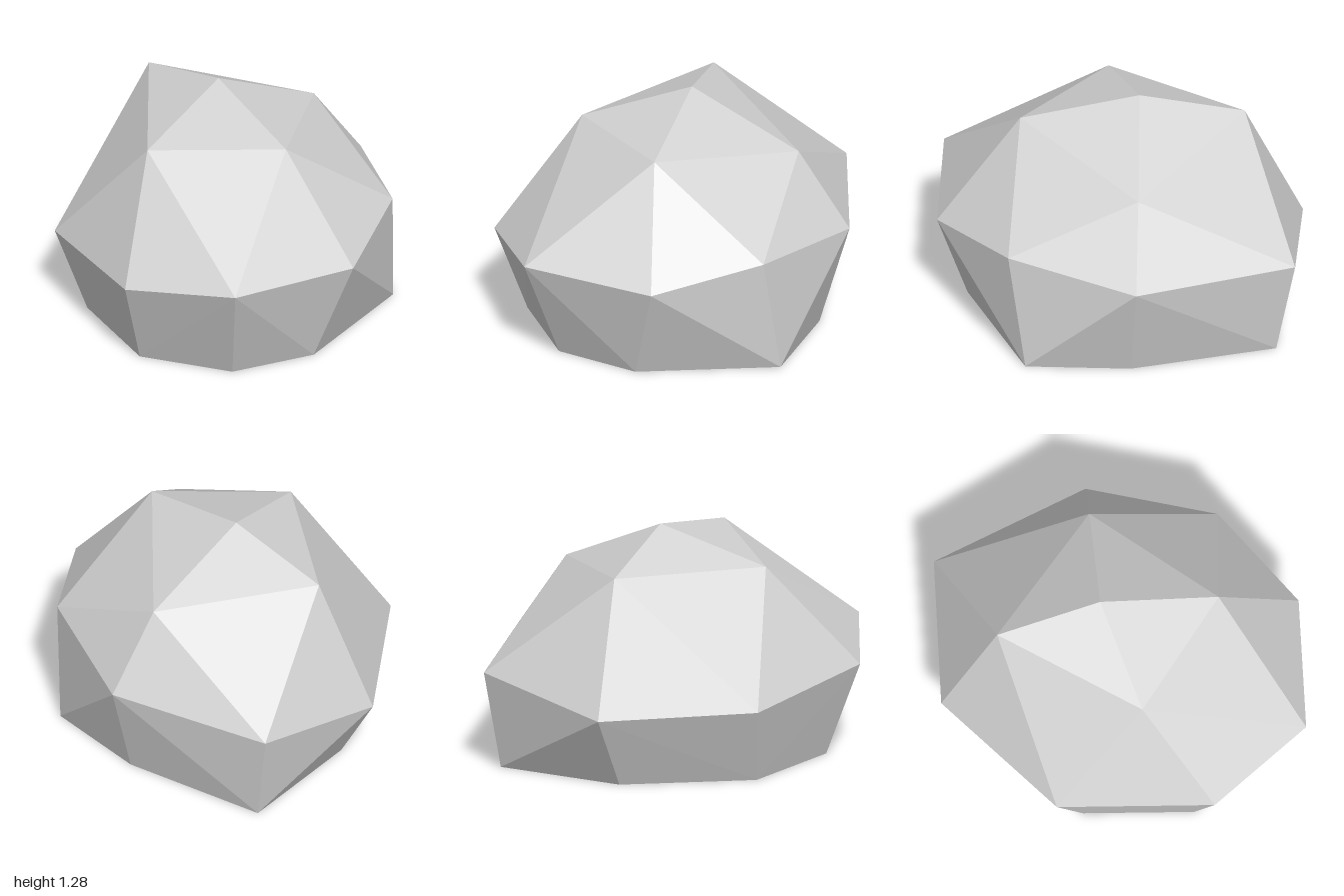
import * as THREE from 'three';
import { ConvexGeometry } from 'three/addons/geometries/ConvexGeometry.js';

// Faceted boulder: the hull of a flat base ring, a wider waist ring and a crown.
export function createModel() {
  const group = new THREE.Group();
  group.name = 'boulder';

  const stone = new THREE.MeshStandardMaterial({ color: 0xd2d2d2 });
  stone.name = 'paleStoneGrey';

  // Base ring on the ground, as x, z
  const base = [
    [0.13, 0.785], [0.61, 0.565], [0.805, 0.13], [0.67, -0.645],
    [0.12, -0.80], [-0.69, -0.79], [-0.77, -0.08], [-0.44, 0.59],
  ].map(([x, z]) => [x, 0, z]);

  // Waist ring, the widest part
  const waist = [
    [0.185, 0.51, 0.96], [0.79, 0.60, 0.735], [1.00, 0.57, 0.025], [0.745, 0.66, -0.56],
    [0.13, 0.58, -0.965], [-0.78, 0.555, -0.855], [-1.00, 0.42, -0.12], [-0.615, 0.44, 0.66],
  ];

  // Crown corners and the peak
  const crown = [
    [-0.07, 1.09, 0.51], [0.53, 1.14, 0.055], [0.05, 0.995, -0.68],
    [-0.67, 1.13, -0.145], [-0.10, 1.28, -0.085],
  ];

  const points = [...base, ...waist, ...crown].map((p) => new THREE.Vector3(...p));
  const rock = new THREE.Mesh(new ConvexGeometry(points), stone);
  rock.name = 'rock';
  group.add(rock);
  return group;
}
